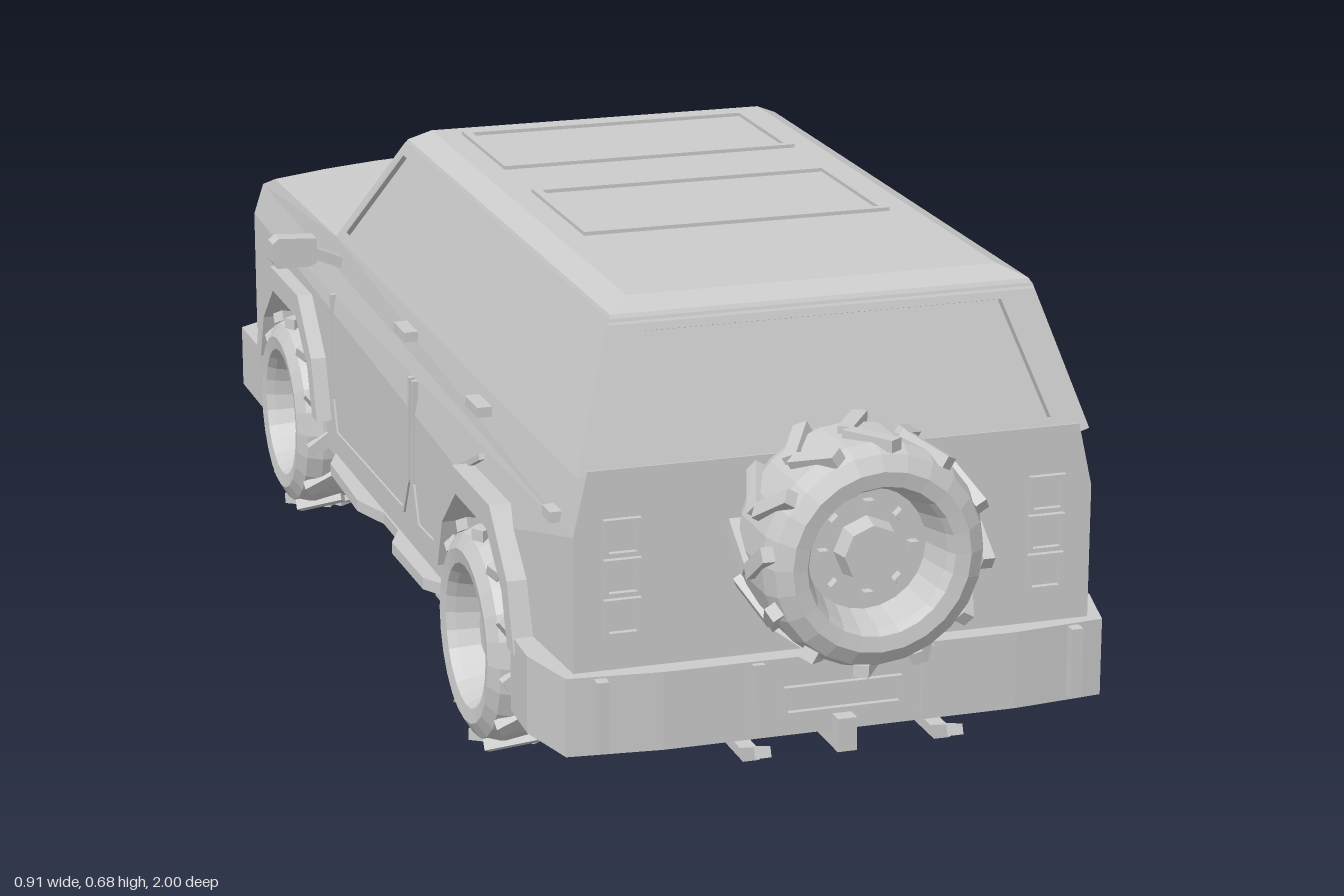
import * as THREE from 'three';
import { mergeGeometries } from 'three/addons/utils/BufferGeometryUtils.js';

const mat = new THREE.MeshStandardMaterial({ color: 0xcccccc, flatShading: true });
const V = (x, y, z) => new THREE.Vector3(x, y, z);
const poly = (pts) => new THREE.Shape(pts.map(([a, b]) => new THREE.Vector2(a, b)));
const lerp = THREE.MathUtils.lerp;

export function createModel() {
  const car = new THREE.Group();
  car.name = 'offRoadCar';
  const add = (name, geo, parent = car) => {
    const m = new THREE.Mesh(geo, mat);
    m.name = name;
    parent.add(m);
    return m;
  };
  const box = (name, w, h, d, x, y, z, parent) => {
    const m = add(name, new THREE.BoxGeometry(w, h, d), parent);
    m.position.set(x, y, z);
    return m;
  };
  // side outline [z, y] extruded across x
  const sideGeo = (pts, x0, x1, steps = 1) =>
    new THREE.ExtrudeGeometry(poly(pts.map(([z, y]) => [-z, y])), { depth: x1 - x0, steps, bevelEnabled: false })
      .translate(0, 0, x0).rotateY(Math.PI / 2);
  // plan outline [x, z] extruded upward
  const planGeo = (pts, y0, y1) =>
    new THREE.ExtrudeGeometry(poly(pts.map(([x, z]) => [x, -z])), { depth: y1 - y0, bevelEnabled: false })
      .rotateX(-Math.PI / 2).translate(0, y0, 0);
  const mirrored = (pts) => [...pts, ...pts.map(([x, z]) => [-x, z]).reverse()];
  // rectangular frame facing z
  const frameGeo = (w, h, t, d) => {
    const rect = (a, b) => [[-a, -b], [a, -b], [a, b], [-a, b]];
    const s = poly(rect(w / 2, h / 2));
    s.holes.push(poly(rect(w / 2 - t, h / 2 - t)));
    return new THREE.ExtrudeGeometry(s, { depth: d, bevelEnabled: false });
  };
  // flat panel with holes through 3D points, thickened toward the outward side
  const panel = (name, pts, holes, outward, depth = 0.014) => {
    const o = pts[0], u = pts[1].clone().sub(o).normalize();
    const n = u.clone().cross(pts[3].clone().sub(o)).normalize();
    if (n.dot(outward) < 0) n.negate();
    const v = n.clone().cross(u);
    const flat = (ps) => poly(ps.map((p) => { const q = p.clone().sub(o); return [q.dot(u), q.dot(v)]; }));
    const s = flat(pts);
    s.holes = holes.map(flat);
    const g = new THREE.ExtrudeGeometry(s, { depth, bevelEnabled: false }).translate(0, 0, -depth);
    return add(name, g.applyMatrix4(new THREE.Matrix4().makeBasis(u, v, n).setPosition(o)));
  };
  // closed stack of rectangles [y, halfWidth, rearZ, frontZ]
  const stack = (rows) => {
    const pos = [], idx = [];
    rows.forEach(([y, w, r, f]) => pos.push(-w, y, r, w, y, r, w, y, f, -w, y, f));
    for (let k = 0; k < rows.length - 1; k++) for (let i = 0; i < 4; i++) {
      const a = k * 4 + i, b = k * 4 + (i + 1) % 4;
      idx.push(a, b, b + 4, a, b + 4, a + 4);
    }
    const t = (rows.length - 1) * 4;
    idx.push(0, 2, 1, 0, 3, 2, t, t + 1, t + 2, t, t + 2, t + 3);
    const g = new THREE.BufferGeometry();
    g.setAttribute('position', new THREE.Float32BufferAttribute(pos, 3));
    g.setIndex(idx);
    g.computeVertexNormals();
    return g;
  };

  // Lower body with wheel arches, bowed nose and narrowed tail
  const REAR = 0.49, FRONT = -0.57;
  const archIn = [[0.17, 0.2], [0.145, 0.27], [0.075, 0.332], [-0.075, 0.332], [-0.145, 0.27], [-0.17, 0.2]];
  const archOut = [[-0.2, 0.2], [-0.17, 0.29], [-0.09, 0.368], [0.09, 0.368], [0.17, 0.29], [0.2, 0.2]];
  const at = (pts, c) => pts.map(([z, y]) => [z + c, y]);
  const arch = (c) => at([[0.17, 0.15], ...archIn, [-0.17, 0.15]], c);
  const bodyRule = (geo) => {
    const p = geo.attributes.position;
    for (let i = 0; i < p.count; i++) {
      const y = p.getY(i), z = p.getZ(i), k = (p.getX(i) / 0.365) ** 2;
      let s = 1 - 0.055 * THREE.MathUtils.clamp((y - 0.4) / 0.075, 0, 1);
      if (z > 0.6) s *= 1 - 0.04 * (z - 0.6) / 0.23;
      p.setX(i, p.getX(i) * s);
      if (z < -0.8) p.setZ(i, z + 0.045 * k);
      if (y > 0.44 && z < -0.3) p.setY(i, y + 0.012 * (1 - k));
    }
    geo.computeVertexNormals();
    return geo;
  };
  add('lowerBody', bodyRule(sideGeo([[0.83, 0.15], ...arch(REAR), ...arch(FRONT), [-0.91, 0.15], [-0.91, 0.4], [0.83, 0.4]], -0.365, 0.365, 8)));
  add('hoodAndShoulders', bodyRule(sideGeo([[0.83, 0.4], [-0.91, 0.4], [-0.9, 0.45], [-0.84, 0.472], [-0.4, 0.478], [0.83, 0.485]], -0.365, 0.365, 8)));
  box('underbody', 0.48, 0.2, 1.66, 0, 0.24, -0.02);

  // Cabin: glass core, roof cap and window frames
  const Y0 = 0.478, Y1 = 0.662, top = [0.285, 0.772, -0.212], base = [0.345, 0.83, -0.4];
  const dim = (i, y) => lerp(base[i], top[i], (y - Y0) / (Y1 - Y0));
  add('glass', stack([[Y0, base[0] - 0.012, base[1] - 0.012, base[2] + 0.012], [Y1, top[0] - 0.012, top[1] - 0.012, top[2] + 0.012]]));
  add('roof', stack([[0.655, 0.287, 0.775, -0.218], [0.667, 0.282, 0.768, -0.208], [0.681, 0.25, 0.735, -0.195]]));
  const S = (s) => ([z, y]) => V(s * dim(0, y), y, z);
  const R = ([x, y]) => V(x, y, dim(1, y));
  const F = ([x, y]) => V(x, y, dim(2, y));
  const sideOutline = [[base[1], Y0], [base[2], Y0], [top[2], Y1], [top[1], Y1]];
  const sideWindows = [
    [[0.795, 0.495], [0.545, 0.495], [0.565, 0.65], [0.75, 0.65]],
    [[0.455, 0.495], [0.155, 0.495], [0.155, 0.65], [0.475, 0.65]],
    [[0.095, 0.495], [-0.36, 0.495], [-0.215, 0.645], [0.095, 0.645]],
  ];
  for (const s of [1, -1]) panel('sideWindowFrame', sideOutline.map(S(s)), sideWindows.map((w) => w.map(S(s))), V(s, 0, 0));
  const endOutline = [[-base[0], Y0], [base[0], Y0], [top[0], Y1], [-top[0], Y1]];
  panel('rearWindowFrame', endOutline.map(R), [[[-0.293, 0.496], [0.293, 0.496], [0.24, 0.645], [-0.24, 0.645]].map(R)], V(0, 0, 1));
  panel('windshieldFrame', endOutline.map(F), [[[-0.315, 0.488], [0.315, 0.488], [0.265, 0.65], [-0.265, 0.65]].map(F)], V(0, 0, -1));
  for (const [z, d] of [[-0.045, 0.22], [0.32, 0.245]]) {
    add('sunroofFrame', frameGeo(0.43, d, 0.012, 0.006).rotateX(-Math.PI / 2)).position.set(0, 0.68, z);
  }
  for (const x of [-0.12, 0.18]) {
    const w = box('wiper', 0.19, 0.006, 0.008, x, 0.502, -0.385);
    w.rotation.z = 0.1;
  }

  // Wheels, also used for the spare (axis along y, outer side up)
  const tire = new THREE.LatheGeometry([[0, -0.08], [0.11, -0.08], [0.138, -0.07], [0.147, -0.045], [0.147, 0.045], [0.138, 0.068],
    [0.118, 0.08], [0.098, 0.077], [0.092, 0.065], [0.08, 0.02], [0, 0.02]].map(([r, y]) => new THREE.Vector2(r, y)), 24);
  const lugs = [], bolts = [];
  for (let i = 0; i < 12; i++) for (const s of [1, -1]) {
    lugs.push(new THREE.BoxGeometry(0.016, 0.075, 0.02).rotateX(s * 0.6).translate(0.146, s * 0.034, 0).rotateY(i * Math.PI / 6));
  }
  for (let i = 0; i < 8; i++) bolts.push(new THREE.BoxGeometry(0.012, 0.016, 0.012).translate(0.06, 0.025, 0).rotateY(i * Math.PI / 4));
  const tread = mergeGeometries(lugs), boltGeo = mergeGeometries(bolts);
  const hub = new THREE.CylinderGeometry(0.038, 0.044, 0.03, 8).translate(0, 0.032, 0);
  const wheel = (name, x, y, z, rx, rz) => {
    const g = new THREE.Group();
    g.name = name;
    add('tire', tire, g); add('tread', tread, g); add('wheelBolts', boltGeo, g); add('hub', hub, g);
    g.position.set(x, y, z);
    g.rotation.set(rx, 0, rz);
    car.add(g);
  };
  wheel('spareWheel', 0, 0.385, 0.915, Math.PI / 2, 0);

  const sill = [[0.36, -0.36], [0.385, -0.3], [0.39, -0.12], [0.368, -0.05], [0.368, 0.03], [0.39, 0.08], [0.388, 0.24], [0.36, 0.29], [0.3, 0.29], [0.3, -0.36]];
  for (const s of [1, -1]) {
    const span = (a, b) => (s > 0 ? [a, b] : [-b, -a]);
    for (const c of [REAR, FRONT]) {
      wheel(c > 0 ? 'rearWheel' : 'frontWheel', s * 0.32, 0.158, c, 0, -s * Math.PI / 2);
      add('fenderFlare', sideGeo([...at(archOut, c), ...at(archIn, c)], ...span(0.33, 0.388)));
      box('axle', 0.24, 0.05, 0.05, s * 0.2, 0.16, c);
    }
    add('sideStep', planGeo(sill.map(([x, z]) => [s * x, z]), 0.138, 0.155));
    for (const z of [0.27, -0.29]) box('stepBracket', 0.06, 0.016, 0.06, s * 0.34, 0.135, z);

    // Door seams, handles, side markers
    const seam = (pts) => pts.slice(1).forEach(([z, y], i) => {
      const [z0, y0] = pts[i];
      const m = box('doorSeam', 0.008, Math.hypot(z - z0, y - y0) + 0.006, 0.008, s * 0.364, (y + y0) / 2, (z + z0) / 2);
      m.rotation.x = Math.atan2(z - z0, y - y0);
    });
    seam([[0.1, 0.4], [0.09, 0.25], [0.06, 0.195], [-0.33, 0.19], [-0.35, 0.24], [-0.35, 0.4]]);
    seam([[0.46, 0.395], [0.34, 0.34], [0.29, 0.2], [0.14, 0.195], [0.115, 0.25], [0.12, 0.4]]);
    for (const z of [0.42, 0.045]) box('doorHandle', 0.02, 0.014, 0.06, s * 0.356, 0.453, z);
    for (const z of [0.755, -0.57]) box('sideMarker', 0.02, 0.014, 0.035, s * 0.353, 0.41, z);

    // Mirrors
    add('mirror', new THREE.ExtrudeGeometry(poly([[s * 0.388, 0.455], [s * 0.4, 0.45], [s * 0.448, 0.45], [s * 0.455, 0.46], [s * 0.455, 0.488], [s * 0.445, 0.496], [s * 0.388, 0.492]]),
      { depth: 0.03, bevelEnabled: false })).position.z = -0.375;
    const arm = box('mirrorArm', 0.06, 0.016, 0.02, s * 0.368, 0.458, -0.36);
    arm.rotation.z = s * 0.4;

    // Tail lights and headlights
    for (const y of [0.29, 0.343, 0.396]) add('tailLight', frameGeo(0.05, 0.05, 0.006, 0.016)).position.set(s * 0.287, y, 0.822);
    const lamp = new THREE.Group();
    lamp.name = 'headlight';
    lamp.position.set(s * 0.275, 0.385, -0.9);
    lamp.rotation.y = -s * 0.19;
    add('lampFrame', frameGeo(0.14, 0.075, 0.01, 0.03), lamp);
    box('lampLens', 0.06, 0.045, 0.02, s * -0.022, 0, 0.018, lamp);
    box('turnLight', 0.04, 0.045, 0.02, s * 0.038, 0, 0.018, lamp);
    car.add(lamp);
    for (const x of [0.115, 0.322]) box('rearBumperRib', 0.016, 0.095, 0.02, s * x, 0.17, 0.856);
    box('frontBumperRib', 0.02, 0.11, 0.03, s * 0.32, 0.165, -0.92);
    box('bullBarPost', 0.018, 0.29, 0.03, s * 0.16, 0.26, -0.955);
    box('towArm', 0.022, 0.014, 0.12, s * 0.13, 0.102, 0.82);
    box('towHook', 0.022, 0.014, 0.06, s * 0.13, 0.112, 0.895).rotation.x = -0.35;
  }

  // Bumpers
  add('rearBumper', planGeo(mirrored([[0.385, 0.665], [0.388, 0.75], [0.365, 0.845], [0.24, 0.858]]), 0.115, 0.22));
  add('frontBumper', planGeo(mirrored([[0.388, -0.745], [0.388, -0.875], [0.34, -0.91], [0.17, -0.95]]), 0.115, 0.21));
  add('numberPlate', frameGeo(0.16, 0.038, 0.004, 0.012)).position.set(0, 0.163, 0.854);
  box('hitch', 0.026, 0.045, 0.1, 0, 0.115, 0.83);

  // Grille, bull bar and winch
  add('grilleFrame', frameGeo(0.38, 0.135, 0.01, 0.03)).position.set(0, 0.355, -0.922);
  for (let i = 0; i < 5; i++) box('grilleSlat', 0.36, 0.01, 0.025, 0, 0.307 + i * 0.024, -0.908);
  for (const y of [0.28, 0.37]) {
    add('bullBarRail', planGeo([[0.34, -0.895], [0.33, -0.915], [0.17, -0.965], [-0.17, -0.965], [-0.33, -0.915], [-0.34, -0.895], [-0.17, -0.945], [0.17, -0.945]], y - 0.01, y + 0.01));
  }
  box('grillePlate', 0.13, 0.04, 0.012, 0, 0.325, -0.955);
  box('winchMount', 0.17, 0.075, 0.04, 0, 0.165, -0.96);
  add('winchDrum', new THREE.CylinderGeometry(0.022, 0.022, 0.13, 10).rotateZ(Math.PI / 2)).position.set(0, 0.165, -0.978);
  for (const s of [1, -1]) box('winchCheek', 0.014, 0.07, 0.045, s * 0.072, 0.165, -0.9775);
  return car;
}
